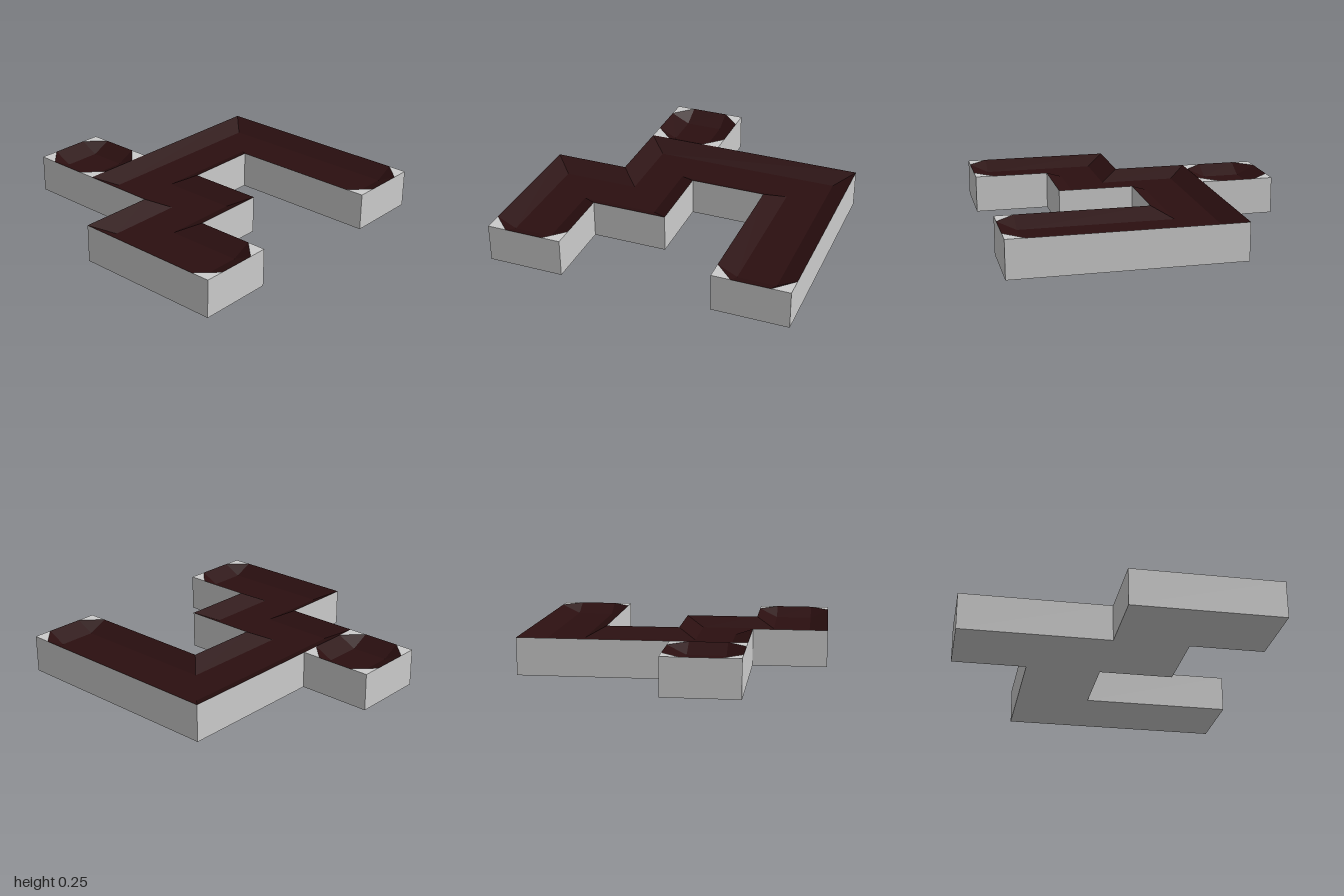
import * as THREE from 'three';

const H = 0.25;        // block height
const INSET = 0.125;   // width of the sloped rim and of the corner cuts
const FLOOR = 0.1875;  // height of the basin floor

// Corners as [x, z, cut], clockwise seen from above
const CHANNEL = [
  [-0.5, -1], [1, -1, 1], [1, -0.5, 1], [0, -0.5], [0, 0], [0.5, 0],
  [0.5, 0.5], [1, 0.5, 1], [1, 1, 1], [0, 1], [0, 0.5], [-0.5, 0.5],
];
const CELL = [[-1, 0, 1], [-0.5, 0, 1], [-0.5, 0.5, 1], [-1, 0.5, 1]];
const OUTLINE = [...CHANNEL.slice(0, -1), [-1, 0.5], [-1, 0], [-0.5, 0]];

const grey = new THREE.MeshStandardMaterial({ color: 0xcccccc });
const darkRed = new THREE.MeshStandardMaterial({ color: 0x2b0f10 });

function addMesh(parent, name, geometry, material) {
  const mesh = new THREE.Mesh(geometry, material);
  mesh.name = name;
  parent.add(mesh);
}

// Flat-faced geometry from a list of triangles of Vector3
function fromTriangles(triangles) {
  const geometry = new THREE.BufferGeometry().setFromPoints(triangles.flat());
  geometry.computeVertexNormals();
  return geometry;
}

// Flat polygon facing up or down at height y
function flatPolygon(points, y, up) {
  const s = up ? -1 : 1;
  const shape = new THREE.Shape(points.map((p) => new THREE.Vector2(p[0], s * p[1])));
  return new THREE.ShapeGeometry(shape).rotateX(s * Math.PI / 2).translate(0, y, 0);
}

// Sunken basin with a sloped rim, plus the grey corner pieces at its cut corners
function addBasin(parent, name, corners) {
  const n = corners.length;
  const rim = [], inner = [], cornerTris = [];
  corners.forEach(([x, z, cut], i) => {
    const p = new THREE.Vector3(x, H, z);
    const [px, pz] = corners[(i + n - 1) % n];
    const [nx, nz] = corners[(i + 1) % n];
    const into = new THREE.Vector3(x - px, 0, z - pz).normalize();
    const out = new THREE.Vector3(nx - x, 0, nz - z).normalize();
    const low = new THREE.Vector3(
      x - INSET * (into.z + out.z), FLOOR, z + INSET * (into.x + out.x));
    inner.push([low.x, low.z]);
    if (cut) {
      const a = p.clone().addScaledVector(into, -INSET);
      const b = p.clone().addScaledVector(out, INSET);
      rim.push([a, low], [b, low]);
      cornerTris.push([a, b, p]);
    } else rim.push([p, low]);
  });

  const slopes = [];
  rim.forEach(([a, aLow], i) => {
    const [b, bLow] = rim[(i + 1) % rim.length];
    slopes.push([a, aLow, b]);
    if (aLow !== bLow) slopes.push([aLow, bLow, b]);
  });

  const basin = new THREE.Group();
  basin.name = name;
  addMesh(basin, name + 'Slopes', fromTriangles(slopes), darkRed);
  addMesh(basin, name + 'Floor', flatPolygon(inner, FLOOR, true), darkRed);
  addMesh(basin, name + 'Corners', fromTriangles(cornerTris), grey);
  parent.add(basin);
}

export function createModel() {
  const model = new THREE.Group();
  model.name = 'channelBlock';

  // Outer walls
  const walls = [];
  OUTLINE.forEach(([ax, az], i) => {
    const [bx, bz] = OUTLINE[(i + 1) % OUTLINE.length];
    const aTop = new THREE.Vector3(ax, H, az), aBase = new THREE.Vector3(ax, 0, az);
    const bTop = new THREE.Vector3(bx, H, bz), bBase = new THREE.Vector3(bx, 0, bz);
    walls.push([aTop, bTop, bBase], [aTop, bBase, aBase]);
  });
  addMesh(model, 'walls', fromTriangles(walls), grey);

  // Underside
  addMesh(model, 'underside', flatPolygon(OUTLINE, 0, false), grey);

  // Winding channel and the separate square cell
  addBasin(model, 'channel', CHANNEL);
  addBasin(model, 'cell', CELL);

  return model;
}
